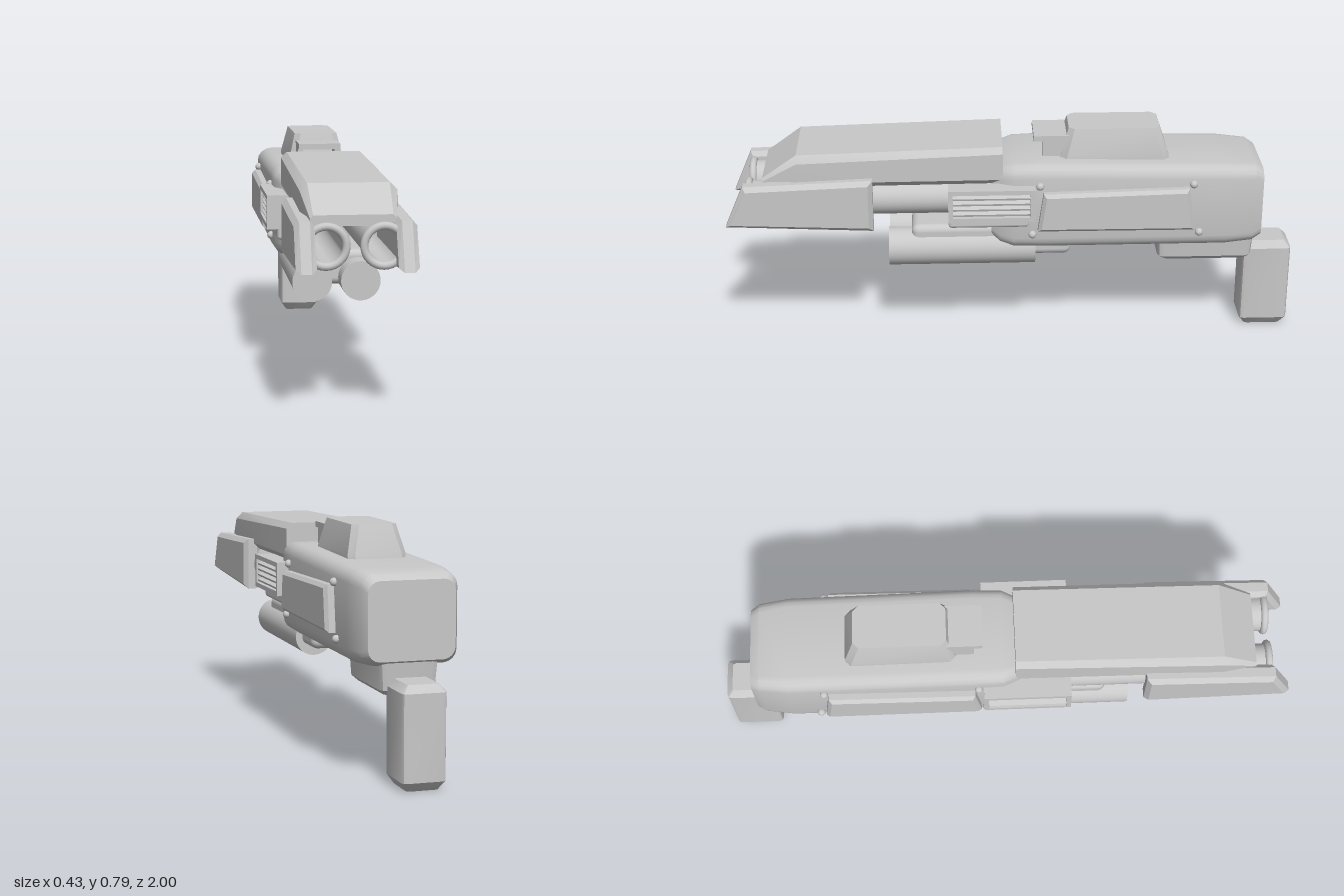
import * as THREE from 'three';
import { toCreasedNormals } from 'three/addons/utils/BufferGeometryUtils.js';
import { RoundedBoxGeometry } from 'three/addons/geometries/RoundedBoxGeometry.js';

const grey = new THREE.MeshStandardMaterial({ color: 0xc8c8c8 });
grey.name = 'plain grey';

// Loft of rounded rectangles along z; section = [z, halfWidth, top, bottom, corner]
function loft(sections, seg = 1) {
  const pos = [], idx = [], n = 4 * (seg + 1);
  for (const [z, w, top, bot, r] of sections) {
    const corners = [[w - r, top - r], [r - w, top - r], [r - w, bot + r], [w - r, bot + r]];
    corners.forEach(([cx, cy], q) => {
      for (let k = 0; k <= seg; k++) {
        const a = (q + k / seg) * Math.PI / 2;
        pos.push(cx + r * Math.cos(a), cy + r * Math.sin(a), z);
      }
    });
  }
  for (let i = 0; i < sections.length - 1; i++) {
    for (let j = 0; j < n; j++) {
      const a = i * n + j, b = i * n + (j + 1) % n;
      idx.push(a, b, b + n, a, b + n, a + n);
    }
  }
  const last = (sections.length - 1) * n;
  for (let j = 1; j < n - 1; j++) {
    idx.push(0, j + 1, j, last, last + j, last + j + 1);
  }
  const g = new THREE.BufferGeometry();
  g.setAttribute('position', new THREE.Float32BufferAttribute(pos, 3));
  g.setIndex(idx);
  return toCreasedNormals(g, 0.5);
}

// Upright loft: section = [y, halfWidth, -zBack, -zFront, corner]
const loftUp = (sections, seg) => loft(sections, seg).rotateX(-Math.PI / 2);

// Bevelled slab from a [z, y] outline, centred on x = 0
function slab(points, thickness, bevel) {
  const shape = new THREE.Shape(points.map(([z, y]) => new THREE.Vector2(-z, y)));
  const g = new THREE.ExtrudeGeometry(shape, {
    depth: thickness - 2 * bevel, bevelEnabled: true, bevelSegments: 1,
    bevelThickness: bevel, bevelSize: bevel, bevelOffset: -bevel,
  });
  return g.translate(0, 0, bevel - thickness / 2).rotateY(Math.PI / 2);
}

export function createModel() {
  const model = new THREE.Group();
  const add = (name, geometry, x = 0, y = 0, z = 0) => {
    const mesh = new THREE.Mesh(geometry, grey);
    mesh.name = name;
    mesh.position.set(x, y, z);
    model.add(mesh);
    return mesh;
  };

  // Main body
  add('body', loft([
    [-0.87, 0.145, 0.645, 0.39, 0.04],
    [-0.84, 0.16, 0.664, 0.375, 0.045],
    [-0.74, 0.173, 0.672, 0.37, 0.045],
    [-0.1, 0.175, 0.685, 0.37, 0.045],
    [0.0, 0.172, 0.682, 0.37, 0.045],
    [0.05, 0.15, 0.67, 0.38, 0.04],
    [0.08, 0.13, 0.645, 0.405, 0.03],
  ], 4));

  // Upper cover over the barrels
  add('barrelCover', loft([
    [0.04, 0.15, 0.745, 0.61, 0.02],
    [0.75, 0.155, 0.725, 0.605, 0.024],
    [0.87, 0.135, 0.64, 0.605, 0.01],
  ]));

  // Top sight and its front bracket
  add('sight', loftUp([
    [0.66, 0.1, 0.545, 0.16, 0.02],
    [0.69, 0.1, 0.54, 0.165, 0.02],
    [0.785, 0.077, 0.508, 0.192, 0.02],
  ]));
  add('sightShelf', new THREE.BoxGeometry(0.15, 0.02, 0.13), 0, 0.75, -0.135);
  for (const s of [-1, 1]) {
    add('sightLeg', new THREE.BoxGeometry(0.018, 0.07, 0.09), s * 0.066, 0.708, -0.145);
  }

  // Tube mount, rear underside and grip
  add('tubeMount', new RoundedBoxGeometry(0.25, 0.12, 0.56, 3, 0.025), 0, 0.385, 0.08);
  add('undersideStrip', new THREE.BoxGeometry(0.16, 0.04, 0.14), 0, 0.37, -0.48);
  add('undersideBlock', loftUp([
    [0.278, 0.075, 0.835, 0.535, 0.02],
    [0.295, 0.093, 0.85, 0.515, 0.025],
    [0.4, 0.1, 0.858, 0.51, 0.025],
  ], 2));
  add('rearGrip', loftUp([
    [0, 0.053, 0.975, 0.845, 0.012],
    [0.03, 0.073, 0.997, 0.825, 0.016],
    [0.31, 0.073, 0.997, 0.825, 0.016],
    [0.335, 0.052, 0.975, 0.845, 0.012],
  ], 2));

  // Hollow barrel profile: outer wall, muzzle, bore and rounded bore end
  const barrelProfile = [[0, 0], [0.062, 0], [0.062, 0.88], [0.05, 0.88], [0.05, 0.2],
    [0.045, 0.175], [0.032, 0.155], [0.016, 0.145], [0, 0.142]]
    .map(([r, l]) => new THREE.Vector2(r, l));
  const barrel = toCreasedNormals(new THREE.LatheGeometry(barrelProfile, 32).rotateX(Math.PI / 2), 0.7);
  const muzzle = new THREE.TorusGeometry(0.0625, 0.0125, 12, 32);
  const lowerTube = new THREE.CylinderGeometry(0.067, 0.067, 0.515, 40).rotateX(Math.PI / 2);
  const frontPlate = slab([[0.49, 0.455], [1, 0.478], [0.935, 0.628], [0.49, 0.645]], 0.065, 0.016);
  const sidePanel = slab([[-0.08, 0.452], [-0.625, 0.45], [-0.605, 0.605], [-0.1, 0.592]], 0.05, 0.012);
  const rivet = new THREE.SphereGeometry(0.014, 16, 10);

  for (const s of [-1, 1]) {
    add('barrel', barrel, s * 0.09, 0.55, 0.04);
    add('muzzleRing', muzzle, s * 0.09, 0.55, 0.92);
    add('lowerTube', lowerTube, s * 0.082, 0.352, 0.183);
    add('frontSidePlate', frontPlate, s * 0.158);
    add('sidePanel', sidePanel, s * 0.182);
    for (const [z, y] of [[-0.088, 0.615], [-0.62, 0.615], [-0.062, 0.433], [-0.645, 0.433]]) {
      add('rivet', rivet, s * 0.178, y, z);
    }

    // Louvred vent and its bracket
    add('ventBracket', new RoundedBoxGeometry(0.08, 0.06, 0.28, 2, 0.012), s * 0.14, 0.49, 0.09);
    add('ventBack', new THREE.BoxGeometry(0.045, 0.115, 0.3), s * 0.168, 0.558, 0.08);
    for (const y of [0.507, 0.609]) {
      add('ventRail', new THREE.BoxGeometry(0.04, 0.016, 0.3), s * 0.196, y, 0.08);
    }
    for (const z of [-0.062, 0.222]) {
      add('ventEnd', new THREE.BoxGeometry(0.04, 0.115, 0.016), s * 0.196, 0.558, z);
    }
    for (let i = 0; i < 4; i++) {
      const slat = add('ventSlat', new THREE.BoxGeometry(0.03, 0.008, 0.27), s * 0.196, 0.528 + i * 0.02, 0.08);
      slat.rotation.z = -s * 0.35;
    }
  }
  return model;
}
